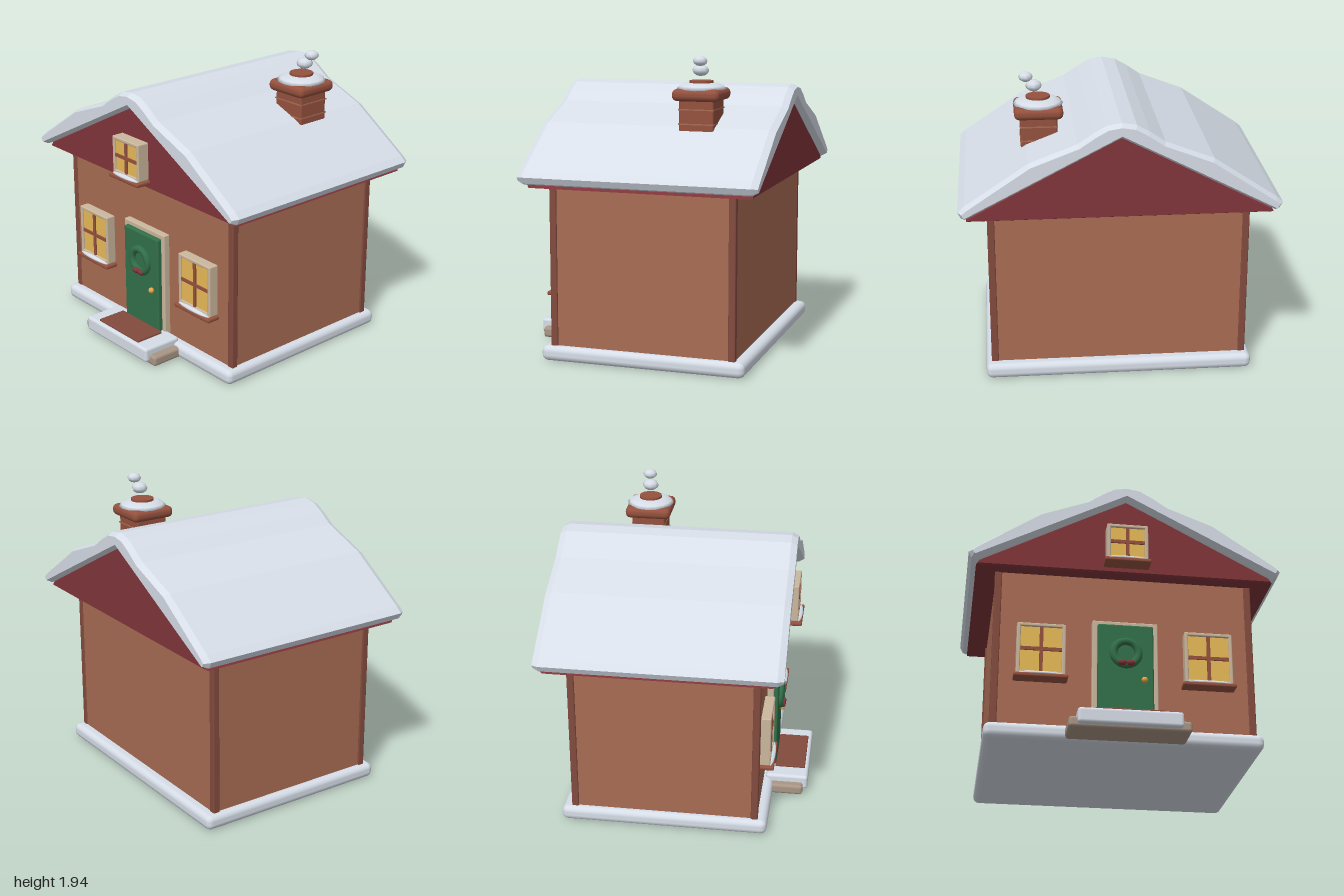
import * as THREE from 'three';
import { RoundedBoxGeometry } from 'three/addons/geometries/RoundedBoxGeometry.js';

const mat = (name, color) => {
  const m = new THREE.MeshStandardMaterial({ color });
  m.name = name;
  return m;
};

export function createModel() {
  const house = new THREE.Group();
  house.name = 'house';
  const snow = mat('snow', 0xd7dee8), wallBrown = mat('wall brown', 0xa86c53);
  const darkBrown = mat('dark brown', 0x834b3e), brick = mat('brick', 0x95513e);
  const barnRed = mat('barn red', 0x81353a), green = mat('door green', 0x327049);
  const cream = mat('cream trim', 0xcbb79d), glow = mat('window glow', 0xf2c25c);
  const stone = mat('stone', 0xa89584), brass = mat('brass', 0xe8a548);

  const add = (name, geo, material, x = 0, y = 0, z = 0, parent = house) => {
    const m = new THREE.Mesh(geo, material);
    m.name = name;
    m.position.set(x, y, z);
    parent.add(m);
    return m;
  };
  // Box given by its min/max extents, with softened edges when r > 0
  const box = (name, material, x0, x1, y0, y1, z0, z1, r = 0, parent = house) => {
    const s = [x1 - x0, y1 - y0, z1 - z0];
    const geo = r ? new RoundedBoxGeometry(...s, 2, r) : new THREE.BoxGeometry(...s);
    return add(name, geo, material, (x0 + x1) / 2, (y0 + y1) / 2, (z0 + z1) / 2, parent);
  };
  // Outline extruded from z0 to z1 with bevels that stay inside the outline
  const slab = (name, material, shape, z0, z1, size, thick, parent = house) => {
    const geo = new THREE.ExtrudeGeometry(shape, {
      depth: z1 - z0 - 2 * thick, bevelEnabled: true, bevelSegments: 1,
      bevelSize: size, bevelThickness: thick, bevelOffset: -size,
    });
    return add(name, geo, material, 0, 0, z0 + thick, parent);
  };
  const poly = (pts) => new THREE.Shape(pts.map(([x, y]) => new THREE.Vector2(x, y)));

  // Body
  box('snowyBase', snow, -0.86, 0.86, 0, 0.1, -0.73, 0.61, 0.04);
  box('walls', wallBrown, -0.815, 0.815, 0.06, 1.15, -0.66, 0.545);
  for (const x of [-0.802, 0.802]) {
    for (const z of [-0.643, 0.528]) {
      box('cornerPost', darkBrown, x - 0.023, x + 0.023, 0.08, 1.14, z - 0.023, z + 0.023, 0.008);
    }
  }
  slab('gable', barnRed, poly([[-0.95, 1.13], [0.95, 1.13], [0.93, 1.165], [0, 1.66], [-0.93, 1.165]]),
    -0.8, 0.645, 0.01, 0.015);

  // Snow-covered roof with a sagging, rounded ridge
  const top = [[0.98, 1.16], [1.0, 1.2], [0.96, 1.235], [0.565, 1.5], [0.265, 1.615], [0.17, 1.68], [0.09, 1.725]];
  const mirrored = top.map(([x, y]) => [-x, y]).reverse();
  slab('roof', snow, poly([[0.955, 1.15], ...top, [0, 1.74], ...mirrored, [-0.955, 1.15], [0, 1.645]]),
    -0.84, 0.7, 0.02, 0.04);

  // Chimney
  const chimney = new THREE.Group();
  chimney.name = 'chimney';
  chimney.position.set(0.483, 0, -0.341);
  house.add(chimney);
  box('chimneyStack', brick, -0.115, 0.115, 1.35, 1.68, -0.112, 0.112, 0.012, chimney);
  for (const y of [1.52, 1.61]) box('mortarLine', wallBrown, -0.118, 0.118, y - 0.004, y + 0.004, -0.115, 0.115, 0, chimney);
  box('chimneyCap', brick, -0.153, 0.153, 1.662, 1.738, -0.153, 0.153, 0.034, chimney);
  const cap = [[0, 1.72], [0.13, 1.722], [0.157, 1.735], [0.14, 1.752], [0.1, 1.77], [0, 1.774]];
  add('chimneySnow', new THREE.LatheGeometry(cap.map(([x, y]) => new THREE.Vector2(x, y)), 16), snow, 0, 0, 0, chimney);
  add('chimneyPot', new THREE.CylinderGeometry(0.076, 0.076, 0.05, 16), brick, 0, 1.76, 0, chimney);
  for (const [x, y, z, r] of [[0.025, 1.85, -0.003, 0.054], [0.074, 1.91, -0.014, 0.047]]) {
    add('smokePuff', new THREE.SphereGeometry(r, 8, 6), snow, x, y, z, chimney).scale.set(0.95, 0.68, 1);
  }

  // Window with its back at z = 0 and its centre at the origin
  const makeWindow = (name, w, h, x, y, z, depth) => {
    const g = new THREE.Group();
    g.name = name;
    g.position.set(x, y, z);
    house.add(g);
    const a = w / 2, b = h / 2, t = 0.024, d = depth;
    box('frameSide', cream, -a, -a + t, -b, b, 0, d, 0.008, g);
    box('frameSide', cream, a - t, a, -b, b, 0, d, 0.008, g);
    box('frameTop', cream, -a, a, b - t, b, 0, d, 0.008, g);
    box('frameBottom', cream, -a, a, -b, -b + t, 0, d, 0.008, g);
    box('glass', glow, -a + t, a - t, -b + t * 0.5, b - t, 0, d - 0.012, 0, g);
    box('muntinVertical', brick, -0.011, 0.011, -b + t * 0.5, b - t, 0, d - 0.002, 0, g);
    box('muntinHorizontal', brick, -a + t, a - t, -0.011, 0.011, 0, d - 0.003, 0, g);
    box('sill', brick, -a - 0.015, a + 0.015, -b - 0.027, -b, 0, d + 0.025, 0.01, g);
    add('sillSnow', new THREE.SphereGeometry(1, 14, 8), snow, 0, -b + 0.003, d, g).scale.set(a, 0.014, 0.024);
  };
  for (const x of [-0.525, 0.525]) makeWindow('window', 0.305, 0.345, x, 0.588, 0.54, 0.07);
  makeWindow('atticWindow', 0.265, 0.25, 0, 1.315, 0.635, 0.09);

  // Door
  box('doorFrameLeft', cream, 0.172, 0.207, 0.09, 0.812, 0.53, 0.588, 0.008);
  box('doorFrameRight', cream, -0.207, -0.172, 0.09, 0.812, 0.53, 0.588, 0.008);
  box('doorFrameTop', cream, -0.207, 0.207, 0.775, 0.812, 0.53, 0.588, 0.008);
  box('door', green, -0.175, 0.175, 0.11, 0.78, 0.53, 0.617, 0.012);
  add('wreath', new THREE.TorusGeometry(0.079, 0.025, 8, 24), green, 0, 0.584, 0.622);
  for (const x of [-0.025, 0.025]) {
    add('wreathBow', new THREE.SphereGeometry(0.02, 10, 8), barnRed, x, 0.512, 0.64).scale.set(1.5, 1, 1);
  }
  add('doorKnob', new THREE.SphereGeometry(0.02, 12, 8), brass, 0.115, 0.408, 0.625);

  // Doorstep
  box('lowerStep', stone, -0.37, 0.37, 0.01, 0.08, 0.56, 0.81, 0.02);
  box('upperStep', snow, -0.32, 0.316, 0.028, 0.126, 0.56, 0.84, 0.02);
  box('doormat', darkBrown, -0.208, 0.206, 0.12, 0.139, 0.615, 0.815, 0.006);

  return house;
}
